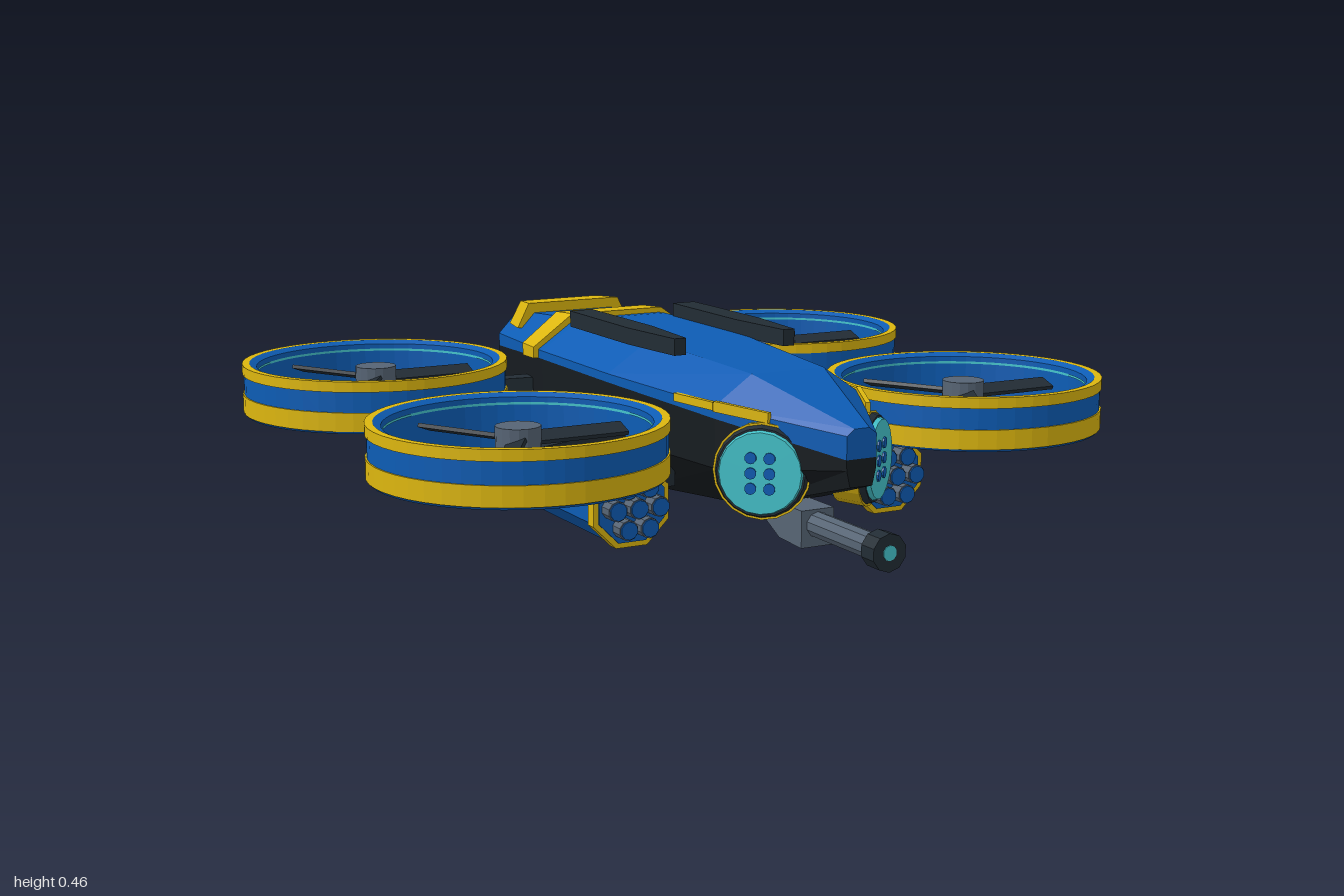
import * as THREE from 'three';

const mat = (name, color, flat = true) => {
  const m = new THREE.MeshStandardMaterial({ color, flatShading: flat });
  m.name = name;
  return m;
};

export function createModel() {
  const blue = mat('blue', 0x0d5cb4), yellow = mat('yellow', 0xdcb60f), dark = mat('dark slate', 0x222c34);
  const black = mat('hull black', 0x171c20), grey = mat('grey', 0x566474), cyan = mat('cyan', 0x45c4cc);
  const model = new THREE.Group();
  model.name = 'aircraft';

  const add = (parent, name, geo, material, x = 0, y = 0, z = 0) => {
    const m = new THREE.Mesh(geo, material);
    m.name = name;
    m.position.set(x, y, z);
    parent.add(m);
    return m;
  };
  const box = (w, h, d) => new THREE.BoxGeometry(w, h, d);
  const cylY = (r0, r1, h, n = 16) => new THREE.CylinderGeometry(r0, r1, h, n);
  const cylZ = (r0, r1, h, n = 16, turn = 0) => cylY(r0, r1, h, n).rotateY(turn).rotateX(Math.PI / 2);
  // Beam between two points
  const beam = (parent, name, a, b, w, h, material) => {
    const p = new THREE.Vector3(...a), q = new THREE.Vector3(...b);
    const m = add(parent, name, box(w, h, p.distanceTo(q)), material);
    m.position.copy(p).add(q).multiplyScalar(0.5);
    m.lookAt(q);
    return m;
  };

  // Closed loft: rings run counterclockwise seen from +z, ordered front to back
  const loft = (rings) => {
    const pos = [], n = rings[0].length;
    const tri = (...v) => v.forEach((p) => pos.push(...p));
    for (let k = 0; k + 1 < rings.length; k++) {
      const f = rings[k], r = rings[k + 1];
      for (let i = 0; i < n; i++) {
        const j = (i + 1) % n;
        tri(f[i], r[i], r[j]);
        tri(f[i], r[j], f[j]);
      }
    }
    const F = rings[0], R = rings[rings.length - 1];
    for (let i = 1; i + 1 < n; i++) {
      tri(F[0], F[i], F[i + 1]);
      tri(R[0], R[i + 1], R[i]);
    }
    const g = new THREE.BufferGeometry();
    g.setAttribute('position', new THREE.Float32BufferAttribute(pos, 3));
    g.computeVertexNormals();
    return g;
  };

  // Hull sections: z, top half width, top y, side half width, shoulder y, colour split y, low y, keel half width, keel y
  const sections = [
    [0.88, 0.02, 0.335, 0.04, 0.32, 0.265, 0.24, 0.03, 0.2],
    [0.56, 0.1, 0.418, 0.2, 0.35, 0.32, 0.2, 0.1, 0.1],
    [0.1, 0.13, 0.437, 0.248, 0.36, 0.338, 0.2, 0.13, 0.06],
    [-0.3, 0.13, 0.437, 0.244, 0.36, 0.338, 0.2, 0.13, 0.067],
    [-0.73, 0.12, 0.407, 0.18, 0.345, 0.31, 0.2, 0.1, 0.09],
    [-1, 0.03, 0.335, 0.038, 0.32, 0.265, 0.23, 0.03, 0.19],
  ];
  const upper = ([z, t, ty, w, sy, py], g = 0) => [
    [w + g, py, z], [w + g, sy + g / 2, z], [t + g / 2, ty + g, z],
    [-t - g / 2, ty + g, z], [-w - g, sy + g / 2, z], [-w - g, py, z]];
  const lower = ([z, , , w, , py, ly, b, by]) => [
    [-w, py, z], [-w * 0.98, ly, z], [-b, by, z], [b, by, z], [w * 0.98, ly, z], [w, py, z]];
  const sectionAt = (z) => {
    const k = sections.findIndex((s, i) => i > 0 && s[0] <= z);
    const a = sections[k - 1], b = sections[k], t = (a[0] - z) / (a[0] - b[0]);
    return a.map((v, i) => v + (b[i] - v) * t);
  };
  add(model, 'upperHull', loft(sections.map((s) => upper(s))), blue);
  add(model, 'lowerHull', loft(sections.map(lower)), black);

  // Raised yellow bands over the rear deck
  add(model, 'mainBand', loft([-0.335, -0.44].map((z) => upper(sectionAt(z), 0.014))), yellow);
  add(model, 'tailBand', loft([[-0.61, 0.175, 0.443], [-0.71, 0.155, 0.437]].map(([z, w, y]) =>
    [[w, 0.375, z], [w - 0.035, y, z], [0.035 - w, y, z], [-w, 0.375, z]])), yellow);

  // Nose gun
  const gun = new THREE.Group();
  gun.name = 'noseGun';
  model.add(gun);
  add(gun, 'gunMount', loft([[0.7, 0.02], [0.6, 0.025], [0.54, 0.055]].map(([z, y]) =>
    [[0.045, y, z], [0.045, 0.11, z], [-0.045, 0.11, z], [-0.045, y, z]])), grey);
  add(gun, 'barrel', cylZ(0.031, 0.031, 0.28, 10), grey, 0, 0.073, 0.82);
  add(gun, 'muzzle', cylZ(0.045, 0.045, 0.05, 10), dark, 0, 0.073, 0.974);
  add(gun, 'muzzleGlow', cylZ(0.018, 0.018, 0.006, 10), cyan, 0, 0.073, 0.998);

  // Top rail outline, seen from above
  const rail = new THREE.Shape();
  [[-0.016, -0.31], [0.016, -0.31], [0.035, -0.1], [0.033, 0.24], [-0.033, 0.24], [-0.035, -0.1]]
    .forEach(([x, y], i) => (i ? rail.lineTo(x, y) : rail.moveTo(x, y)));
  const railGeo = new THREE.ExtrudeGeometry(rail, { depth: 0.042, bevelEnabled: false }).rotateX(-Math.PI / 2);

  // Shroud walls: radius and height of both ends, colour
  const walls = [
    [0.346, 0.2, 0.35, 0.206, blue], [0.352, 0.206, 0.352, 0.255, yellow],
    [0.348, 0.255, 0.348, 0.308, blue], [0.352, 0.308, 0.352, 0.335, yellow],
    [0.352, 0.335, 0.333, 0.335, yellow], [0.333, 0.335, 0.314, 0.326, blue],
    [0.314, 0.326, 0.314, 0.2, blue], [0.314, 0.2, 0.346, 0.2, blue],
    [0.348, 0.308, 0.352, 0.308, yellow].reverse().length ? [0.352, 0.255, 0.348, 0.255, yellow] : null,
    [0.348, 0.308, 0.352, 0.308, yellow], [0.35, 0.206, 0.352, 0.206, yellow],
    [0.312, 0.313, 0.312, 0.307, cyan],
  ];
  const fan = (x, z) => {
    const g = new THREE.Group();
    g.name = 'liftFan';
    g.position.set(x, 0, z);
    model.add(g);
    for (const [r0, y0, r1, y1, m] of walls)
      add(g, 'shroud', new THREE.LatheGeometry([new THREE.Vector2(r0, y0), new THREE.Vector2(r1, y1)], 48), m);
    add(g, 'hub', cylY(0.054, 0.054, 0.075), grey, 0, 0.28, 0);
    add(g, 'hubBase', cylY(0.04, 0.032, 0.04), grey, 0, 0.225, 0);
    for (let i = 0; i < 3; i++) {
      const blade = add(g, 'blade', box(0.24, 0.01, 0.05).rotateX(0.35).translate(0.155, 0, 0), dark, 0, 0.285, 0);
      blade.rotation.y = (i * Math.PI * 2) / 3;
    }
  };

  for (const s of [1, -1]) {
    add(model, 'topRail', railGeo, dark, s * 0.155, 0.43, 0);

    // Fans with arms and thin struts
    for (const [z, root, strutA, strutB] of [[-0.53, -0.42, -0.33, -0.46], [0.4, 0.28, 0.2, 0.33]]) {
      fan(s * 0.63, z);
      beam(model, 'fanArm', [s * 0.2, 0.25, root], [s * 0.6, 0.24, z - Math.sign(z) * 0.008], 0.055, 0.045, dark);
      beam(model, 'armStrut', [s * 0.2, 0.21, strutA], [s * 0.5, 0.225, strutB], 0.016, 0.016, grey);
    }

    // Side vents
    for (const z of [-0.165, -0.03])
      add(model, 'sideVent', box(0.04, 0.032, 0.068), dark, s * 0.248, 0.186, z);

    // Headlight, turned outwards
    const lamp = new THREE.Group();
    lamp.name = 'headlight';
    lamp.position.set(s * 0.16, 0.215, 0.705);
    lamp.rotation.y = s * 0.7;
    model.add(lamp);
    add(lamp, 'lampHousing', cylZ(0.115, 0.108, 0.07, 20), yellow, 0, 0, -0.05);
    add(lamp, 'lampRim', cylZ(0.104, 0.11, 0.015, 20), dark, 0, 0, -0.008);
    add(lamp, 'lampLens', cylZ(0.096, 0.1, 0.012, 20), cyan, 0, 0, 0.004);
    for (const x of [-0.022, 0.022])
      for (const y of [-0.036, 0, 0.036])
        add(lamp, 'lampDot', cylZ(0.014, 0.014, 0.006, 10), blue, x, y, 0.011);

    // Yellow trim running back from the headlight
    beam(model, 'cheekTrim', [s * 0.135, 0.34, 0.7], [s * 0.2, 0.35, 0.56], 0.012, 0.025, yellow);
    beam(model, 'cheekTrim', [s * 0.2, 0.35, 0.56], [s * 0.217, 0.348, 0.4], 0.012, 0.02, yellow);

    // Launcher pod
    const pod = new THREE.Group();
    pod.name = 'launcherPod';
    pod.position.set(s * 0.365, 0.108, 0);
    model.add(pod);
    const oct = Math.PI / 8;
    add(pod, 'podBody', cylZ(0.101, 0.101, 0.4, 8, oct), blue, 0, 0, 0.24);
    add(pod, 'podCollar', cylZ(0.108, 0.108, 0.03, 8, oct), yellow, 0, 0, 0.44);
    add(pod, 'podFace', cylZ(0.094, 0.094, 0.006, 8, oct), blue, 0, 0, 0.456);
    add(pod, 'podTopBracket', box(0.16, 0.012, 0.05), yellow, 0, 0.086, 0.466);
    add(pod, 'podPylon', box(0.12, 0.06, 0.2), dark, -s * 0.13, 0.03, 0.22);
    for (let i = 0; i < 7; i++) {
      const a = (i * Math.PI) / 3, r = i < 6 ? 0.056 : 0;
      const x = Math.cos(a) * r, y = Math.sin(a) * r;
      add(pod, 'launchTube', cylZ(0.025, 0.025, 0.045, 10), grey, x, y, 0.474);
      add(pod, 'tubeCap', cylZ(0.022, 0.022, 0.005, 10), blue, x, y, 0.498);
    }
  }
  return model;
}
